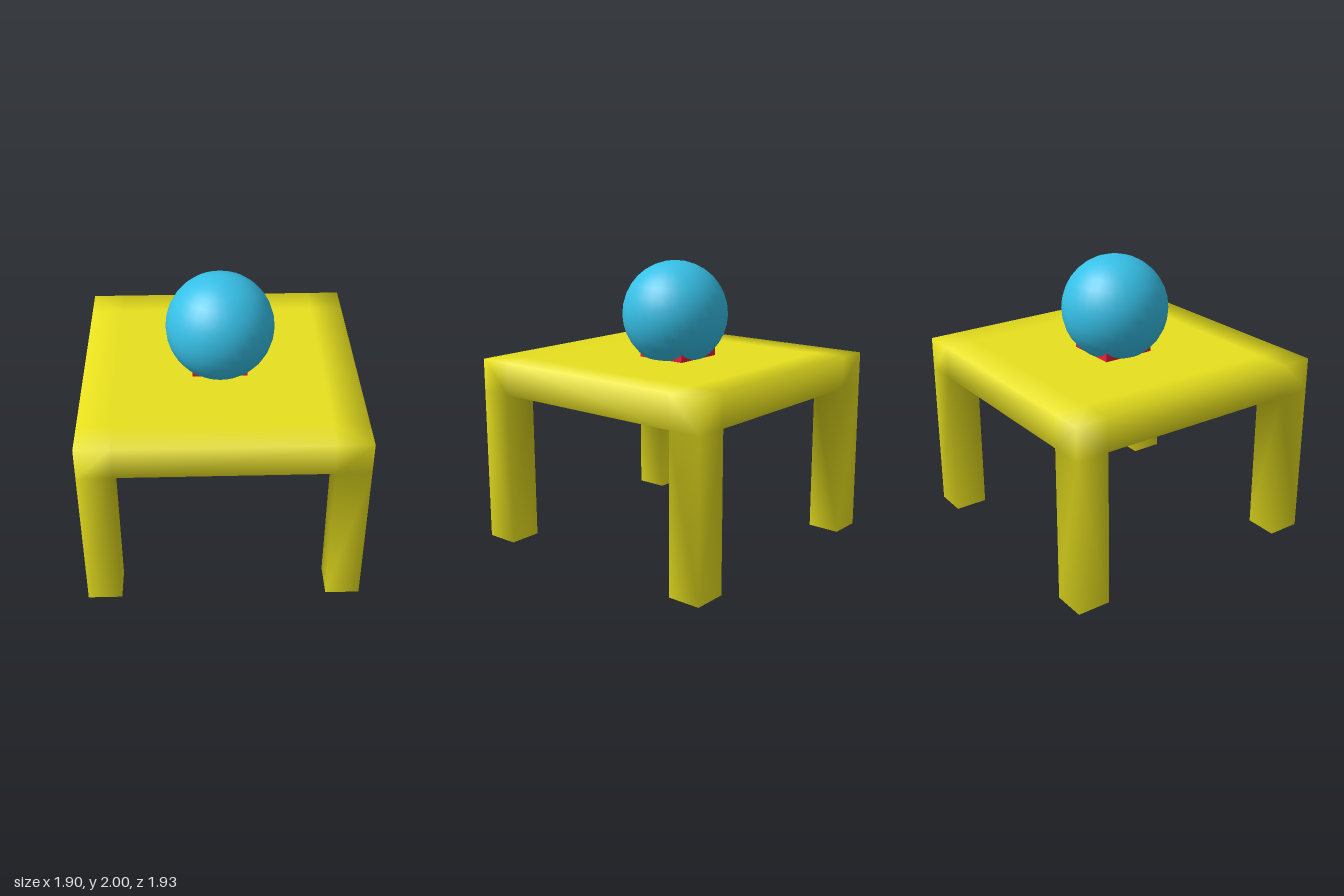
import * as THREE from 'three';

const paint = (color) => new THREE.MeshStandardMaterial({ color });

// Table as one welded, smooth-shaded skin: a slab cell layer over four corner leg cells
function tableGeometry() {
  const grid = [
    [-0.95, -0.715, 0.715, 0.95],
    [0, 1.09, 1.32],
    [-0.965, -0.73, 0.73, 0.965],
  ];
  const solid = ([x, y, z]) =>
    x >= 0 && x < 3 && z >= 0 && z < 3 && (y === 1 || (y === 0 && x !== 1 && z !== 1));
  const vertexId = ([x, y, z]) => (x * 3 + y) * 4 + z;

  const positions = [];
  for (const x of grid[0]) for (const y of grid[1]) for (const z of grid[2]) positions.push(x, y, z);

  // A quad wherever a solid cell meets an empty one
  const index = [];
  for (let x = 0; x < 3; x++) for (let y = 0; y < 2; y++) for (let z = 0; z < 3; z++) {
    const cell = [x, y, z];
    if (!solid(cell)) continue;
    for (let axis = 0; axis < 3; axis++) for (const side of [-1, 1]) {
      const next = [...cell];
      next[axis] += side;
      if (solid(next)) continue;
      const corner = (du, dv) => {
        const p = [...cell];
        p[axis] += side > 0 ? 1 : 0;
        p[(axis + 1) % 3] += du;
        p[(axis + 2) % 3] += dv;
        return vertexId(p);
      };
      const q = [corner(0, 0), corner(1, 0), corner(1, 1), corner(0, 1)];
      if (side < 0) q.reverse();
      index.push(q[0], q[1], q[2], q[0], q[2], q[3]);
    }
  }

  const geometry = new THREE.BufferGeometry();
  geometry.setAttribute('position', new THREE.Float32BufferAttribute(positions, 3));
  geometry.setIndex(index);
  geometry.computeVertexNormals();
  return geometry;
}

export function createModel() {
  const model = new THREE.Group();
  const add = (name, geometry, color, x = 0, y = 0, z = 0) => {
    const mesh = new THREE.Mesh(geometry, paint(color));
    mesh.name = name;
    mesh.position.set(x, y, z);
    model.add(mesh);
  };

  add('table', tableGeometry(), 0xe7e01e);
  // Block under the ball; only its corners poke out
  add('ballStand', new THREE.BoxGeometry(0.38, 0.3, 0.38), 0xe7203c, -0.005, 1.4, -0.02);
  add('ball', new THREE.SphereGeometry(0.375, 32, 16), 0x36c0e7, 0, 1.625, 0);

  return model;
}
